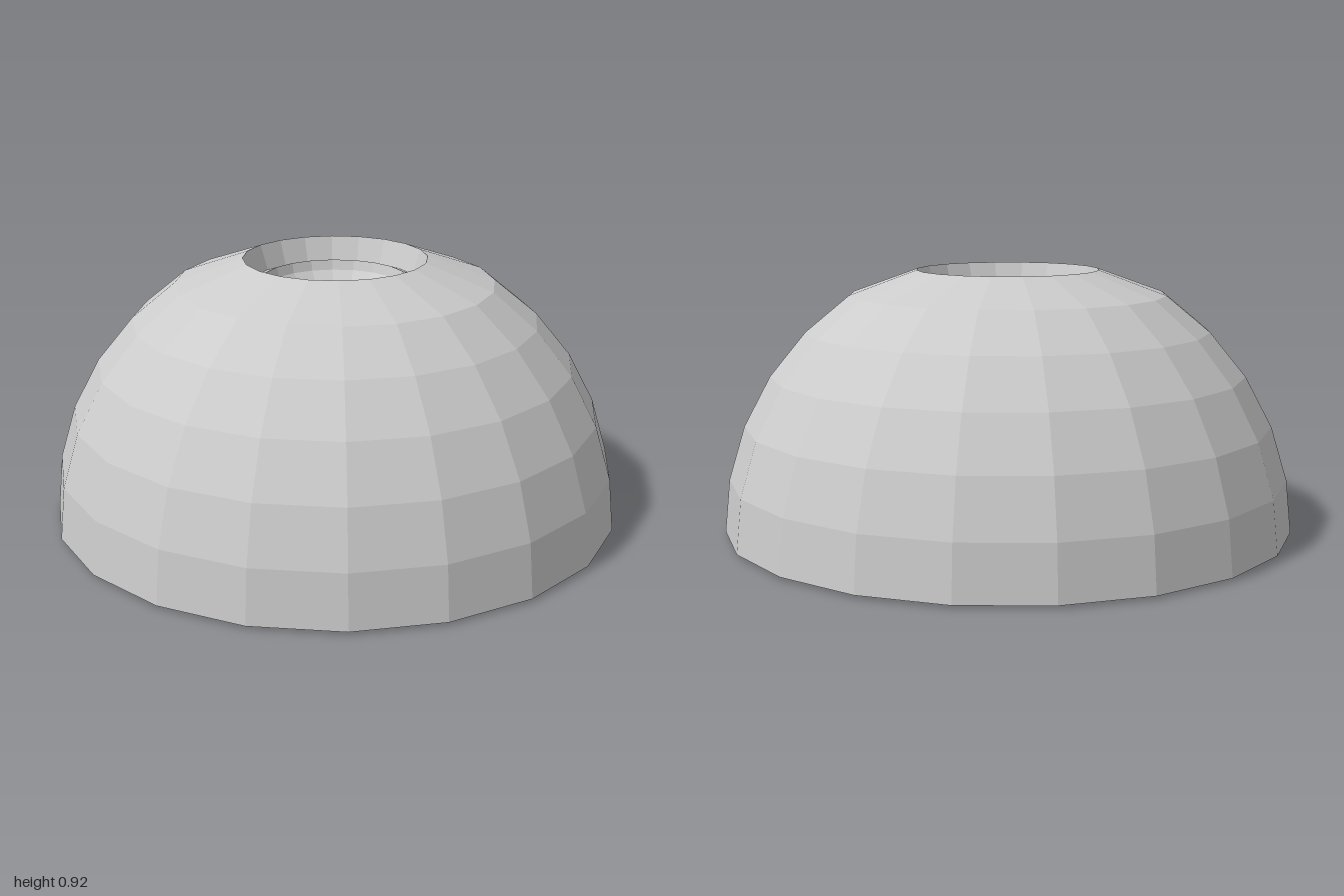
import * as THREE from 'three';

const SIDES = 20;
const STEP = Math.PI / 16;

// Arc of a dome from its foot towards the crown, as [radius, height] points
function domeArc(radius, rings) {
  return Array.from({ length: rings }, (_, i) => [
    radius * Math.cos(i * STEP), radius * Math.sin(i * STEP),
  ]);
}

function turned(name, profile) {
  const points = profile.map(([r, y]) => new THREE.Vector2(r, y));
  const material = new THREE.MeshStandardMaterial({
    color: 0xcccccc, flatShading: true, side: THREE.DoubleSide,
  });
  const mesh = new THREE.Mesh(new THREE.LatheGeometry(points, SIDES), material);
  mesh.name = name;
  return mesh;
}

export function createModel() {
  const model = new THREE.Group();
  model.name = 'domeShade';

  // Hollow shell: outer dome, opening wall, inner dome, bottom rim
  const outer = domeArc(1, 6);
  outer[0][1] = 0.01;
  const inner = domeArc(0.945, 6).reverse();
  model.add(turned('domeShell', [
    ...outer, [0.32, 0.917], [0.29, 0.83], ...inner, [1, 0.01],
  ]));

  // Sunken collar: sloped lip, funnel-shaped bowl and central hole
  model.add(turned('collar', [
    [0.29, 0.83], [0.25, 0.845], [0.24, 0.81], [0.21, 0.775],
    [0.145, 0.735], [0.12, 0.69], [0.107, 0.67],
    [0.15, 0.69], [0.235, 0.76], [0.29, 0.83],
  ]));

  return model;
}
